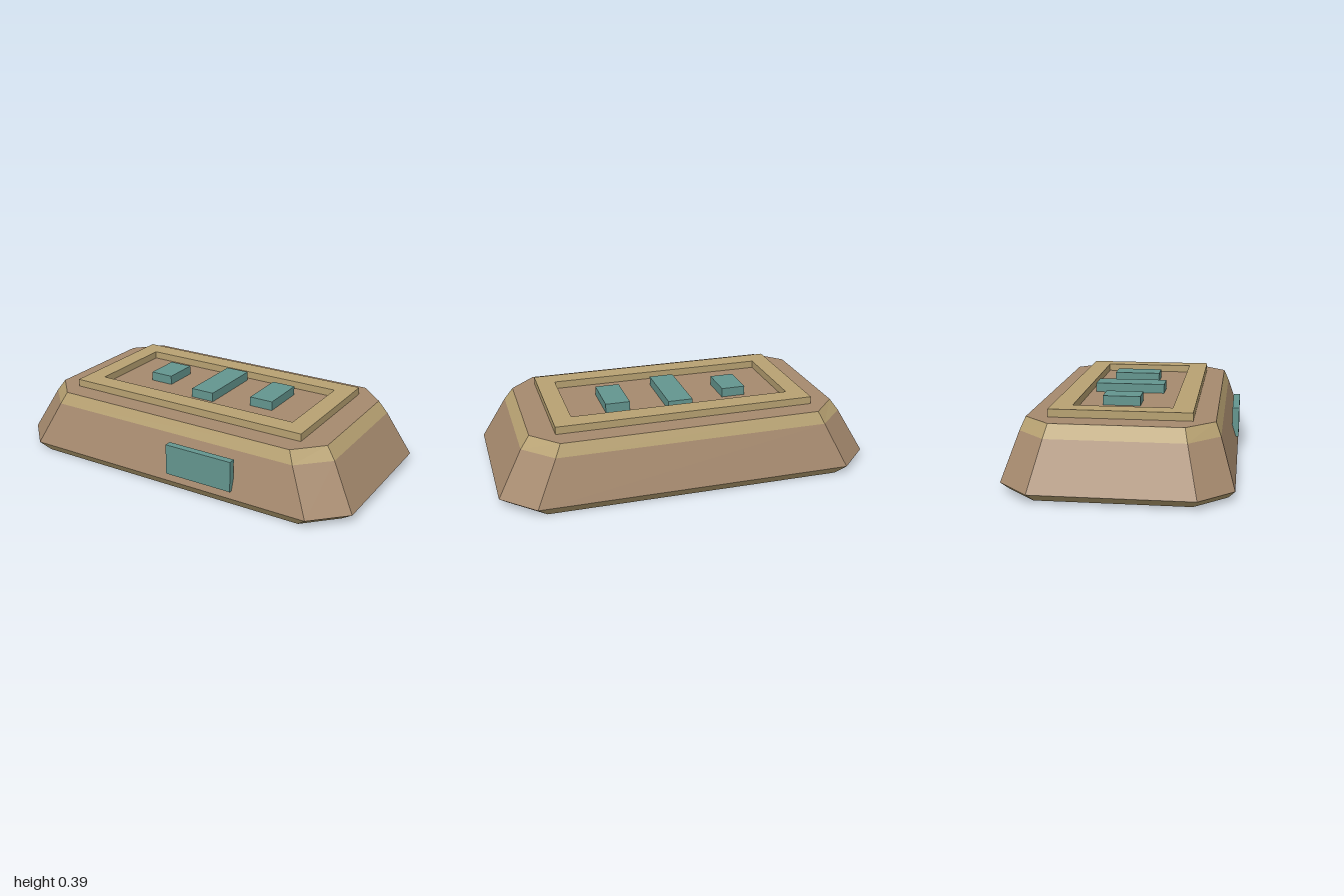
import * as THREE from 'three';

const mat = (name, color) => {
  const m = new THREE.MeshStandardMaterial({ color });
  m.name = name;
  return m;
};

// Octagonal ring: half extents x, z and the chamfer ends cx, cz, at height y
const ring = ([y, x, z, cx, cz]) => [
  [cx, y, z], [x, y, cz], [x, y, -cz], [cx, y, -z],
  [-cx, y, -z], [-x, y, -cz], [-x, y, cz], [-cx, y, z],
];

// Flat-sided loft through rings from bottom to top, with optional caps
function loft(sections, capBottom, capTop) {
  const rings = sections.map(ring), pos = [];
  const tri = (a, b, c) => pos.push(...a, ...b, ...c);
  for (let k = 0; k < rings.length - 1; k++) {
    const lo = rings[k], hi = rings[k + 1];
    for (let i = 0; i < 8; i++) {
      const j = (i + 1) % 8;
      tri(lo[i], lo[j], hi[j]);
      tri(lo[i], hi[j], hi[i]);
    }
  }
  const first = rings[0], last = rings[rings.length - 1];
  for (let i = 1; i < 7; i++) {
    if (capBottom) tri(first[0], first[i + 1], first[i]);
    if (capTop) tri(last[0], last[i], last[i + 1]);
  }
  const g = new THREE.BufferGeometry();
  g.setAttribute('position', new THREE.Float32BufferAttribute(pos, 3));
  g.computeVertexNormals();
  return g;
}

export function createModel() {
  const group = new THREE.Group();
  const brown = mat('brown', 0xa68a6e);
  const tan = mat('tan', 0xb8a272);
  const teal = mat('teal', 0x64968f);

  const add = (name, geometry, material) => {
    const mesh = new THREE.Mesh(geometry, material);
    mesh.name = name;
    group.add(mesh);
    return mesh;
  };
  // Box given by its min and max corners
  const box = (name, x0, x1, y0, y1, z0, z1, material) =>
    add(name, new THREE.BoxGeometry(x1 - x0, y1 - y0, z1 - z0), material)
      .position.set((x0 + x1) / 2, (y0 + y1) / 2, (z0 + z1) / 2);

  // Body sections: y, half x, half z, chamfer x, chamfer z
  const foot = [0, 0.937, 0.53, 0.78, 0.373];
  const waist = [0.046, 1, 0.563, 0.83, 0.395];
  const shoulder = [0.28, 0.869, 0.489, 0.718, 0.34];
  const crown = [0.344, 0.822, 0.463, 0.688, 0.325];

  add('base', loft([foot, waist], true, false), tan);
  add('hull', loft([waist, shoulder], false, false), brown);
  add('shoulderBand', loft([shoulder, crown], false, false), tan);
  add('deck', loft([crown], false, true), brown);

  // Raised rectangular rim around the sunken deck
  const rect = (Type, x, z) => new Type([
    new THREE.Vector2(-x, -z), new THREE.Vector2(x, -z),
    new THREE.Vector2(x, z), new THREE.Vector2(-x, z),
  ]);
  const rimShape = rect(THREE.Shape, 0.693, 0.354);
  rimShape.holes.push(rect(THREE.Path, 0.593, 0.249));
  const rim = new THREE.ExtrudeGeometry(rimShape, { depth: 0.041, bevelEnabled: false });
  rim.rotateX(-Math.PI / 2);
  add('rim', rim, tan).position.y = 0.343;

  // Blocks on the deck: x range, z range
  [
    ['rightBlock', -0.396, -0.266, -0.131, 0.064],
    ['middleBlock', -0.067, 0.066, -0.221, 0.155],
    ['leftBlock', 0.262, 0.393, -0.163, 0.094],
  ].forEach(([name, x0, x1, z0, z1]) => box(name, x0, x1, 0.34, 0.393, z0, z1, teal));

  // Panel on the front slope
  box('frontPanel', 0.04, 0.42, 0.085, 0.249, 0.529, 0.566, teal);

  return group;
}
